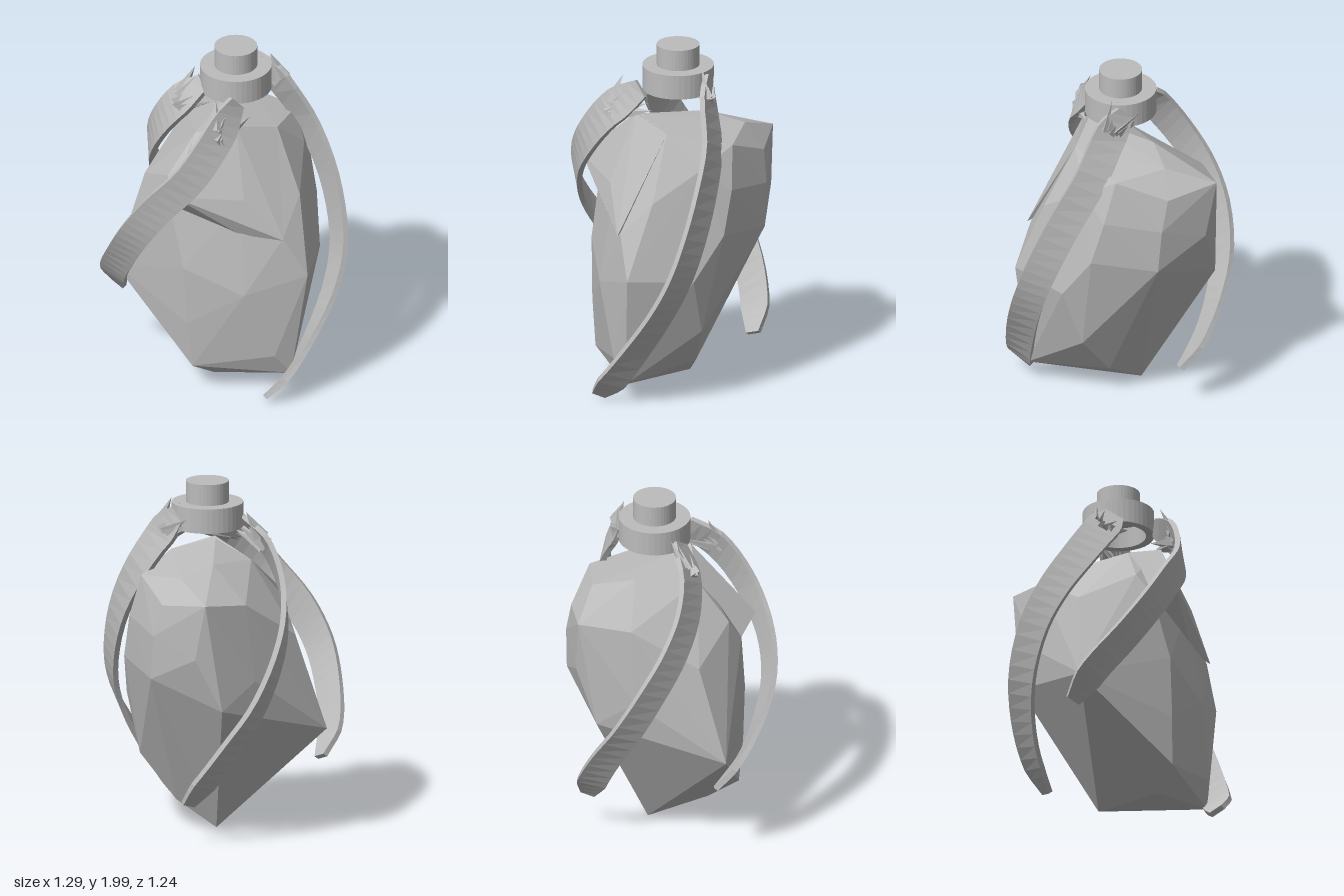
import * as THREE from 'three';
import { ConvexGeometry } from 'three/addons/geometries/ConvexGeometry.js';

const V = (p) => new THREE.Vector3(...p);
const UP = new THREE.Vector3(0, 1, 0);

// Small seeded generator for the splinters
function seeded(seed) {
  return () => {
    seed = (seed * 16807) % 2147483647;
    return seed / 2147483647;
  };
}

// Direction a band faces: away from the axis, turning and tipping downward along its length
function facing(p, u) {
  const n = new THREE.Vector3(p.x - 0.04, 0, p.z).normalize();
  n.applyAxisAngle(UP, 0.42 + 0.45 * u);
  n.y = 0.2 - 0.6 * u;
  return n.normalize();
}

// Flat band with a rectangular section, swept along a curve
function bandGeometry(points, topWidth, endWidth) {
  const curve = new THREE.CatmullRomCurve3(points.map(V));
  const steps = 28, pos = [], idx = [];
  for (let i = 0; i <= steps; i++) {
    const u = i / steps;
    const p = curve.getPoint(u), t = curve.getTangent(u);
    const n = facing(p, u);
    n.addScaledVector(t, -n.dot(t)).normalize();
    const s = t.clone().cross(n);
    const tip = Math.min(1, 0.5 + (1 - u) * 5) * Math.min(1, 0.55 + u * 5);
    const w = THREE.MathUtils.lerp(topWidth, endWidth, u) * tip / 2, h = 0.015;
    for (const [a, b] of [[w, h], [-w, h], [-w, -h], [w, -h]]) {
      pos.push(...p.clone().addScaledVector(s, a).addScaledVector(n, b).toArray());
    }
    if (i < steps) {
      for (let k = 0; k < 4; k++) {
        const a = i * 4 + k, b = i * 4 + (k + 1) % 4;
        idx.push(a, a + 4, b, b, a + 4, b + 4);
      }
    }
  }
  const e = steps * 4;
  idx.push(0, 1, 2, 0, 2, 3, e, e + 2, e + 1, e, e + 3, e + 2);
  const g = new THREE.BufferGeometry();
  g.setAttribute('position', new THREE.Float32BufferAttribute(pos, 3));
  g.setIndex(idx);
  const flat = g.toNonIndexed();
  flat.computeVertexNormals();
  return flat;
}

export function createModel() {
  const model = new THREE.Group();
  const grey = new THREE.MeshStandardMaterial({ color: 0xbcbcbc, flatShading: true });
  grey.name = 'plain grey';

  const add = (geometry, name, parent = model) => {
    const mesh = new THREE.Mesh(geometry, grey);
    mesh.name = name;
    parent.add(mesh);
    return mesh;
  };

  // Faceted stone
  const stone = [
    // underside
    [0.07, 0.03, -0.12], [-0.1, 0.06, 0.22], [-0.25, 0.17, 0.3], [0.27, 0.13, 0.48], [0.28, 0.17, 0.0],
    // lower flanks
    [-0.54, 0.6, -0.21], [0.47, 0.42, 0.1], [0.17, 0.26, 0.49], [-0.28, 0.45, 0.3],
    // middle
    [0.35, 0.77, 0.53], [0.0, 0.66, 0.46], [0.57, 1.0, 0.02], [0.53, 0.75, 0.2], [0.1, 0.8, -0.56],
    [0.47, 0.95, -0.34], [-0.3, 0.8, 0.29], [0.22, 1.0, 0.48], [-0.1, 0.95, -0.47], [0.25, 1.1, -0.55],
    // shoulders
    [-0.35, 1.17, 0.19], [-0.33, 1.3, 0.1], [0.55, 1.25, -0.05], [0.36, 1.2, 0.36], [0.47, 1.38, 0.1],
    [0.2, 1.42, -0.6], [0.49, 1.49, -0.1], [0.46, 1.2, -0.36], [0.41, 1.38, -0.38], [-0.36, 1.15, -0.22],
    [-0.05, 1.38, -0.44], [0.02, 1.22, 0.37],
    // crown
    [0.03, 1.61, 0.2], [0.28, 1.56, 0.2], [-0.15, 1.52, 0.05], [0.1, 1.56, -0.2], [0.3, 1.52, -0.33],
  ];
  add(new ConvexGeometry(stone.map(V)), 'stone');

  // Jutting ledge high on the stone's front
  const ledge = [[-0.36, 1.28, 0.31], [-0.35, 1.17, 0.19], [-0.15, 1.52, 0.05], [0.03, 1.62, 0.23],
    [0.28, 1.56, 0.2], [0.02, 1.24, 0.4], [0.22, 1.0, 0.5], [0.0, 1.02, 0.39], [0.1, 1.3, 0]];
  add(new ConvexGeometry(ledge.map(V)), 'stoneLedge');

  // Cap collar with a hollow underside, and the round knob above it
  const collar = [[0, 1.86], [0.155, 1.86], [0.155, 1.74], [0.2, 1.74], [0.2, 1.88], [0, 1.88]];
  add(new THREE.LatheGeometry(collar.map((p) => new THREE.Vector2(...p)), 40), 'capCollar')
    .position.set(0.105, 0, -0.01);
  add(new THREE.CylinderGeometry(0.12, 0.12, 0.12, 40), 'capKnob').position.set(0.105, 1.94, -0.01);

  // Three bands wrapping down around the stone
  const bands = {
    rightBand: [[0.04, 1.76, 0.2], [-0.11, 1.61, 0.31], [-0.28, 1.4, 0.345], [-0.45, 1.2, 0.28],
      [-0.55, 1.0, 0.18], [-0.585, 0.8, 0.04], [-0.575, 0.6, -0.13], [-0.5, 0.45, -0.25]],
    leftBand: [[0.28, 1.83, -0.09], [0.36, 1.72, -0.03], [0.49, 1.5, 0.04], [0.575, 1.25, 0.16],
      [0.605, 1.0, 0.27], [0.59, 0.8, 0.35], [0.52, 0.6, 0.42], [0.38, 0.36, 0.49],
      [0.22, 0.14, 0.54], [0.1, 0.04, 0.54]],
    backBand: [[-0.08, 1.78, -0.03], [-0.21, 1.64, -0.1], [-0.28, 1.45, -0.22], [-0.28, 1.25, -0.36],
      [-0.22, 1.05, -0.47], [-0.1, 0.8, -0.54], [0.05, 0.58, -0.54], [0.18, 0.38, -0.49], [0.27, 0.24, -0.41]],
  };

  // Broad flakes at the torn upper end of each band
  const rand = seeded(77);
  for (const [name, points] of Object.entries(bands)) {
    const band = new THREE.Group();
    band.name = name;
    model.add(band);
    add(bandGeometry(points, 0.2, 0.16), 'strap', band);
    const a = V(points[0]), b = V(points[1]);
    const along = a.clone().sub(b).normalize();
    const out = facing(a, 0);
    const across = along.clone().cross(out).normalize();
    for (let i = 0; i < 5; i++) {
      const side = (i - 2) / 2;
      const length = 0.17 + rand() * 0.06;
      const dir = along.clone().addScaledVector(across, side * 0.5 + (rand() - 0.5) * 0.3)
        .addScaledVector(out, (rand() - 0.5) * 0.5).normalize();
      const flake = add(new THREE.ConeGeometry(0.045, length, 4), 'flake', band);
      flake.scale.z = 0.55;
      flake.quaternion.setFromUnitVectors(UP, dir);
      flake.position.lerpVectors(a, b, 0.7 + rand() * 0.3)
        .addScaledVector(across, side * 0.05).addScaledVector(dir, length * 0.4);
    }
  }
  return model;
}
